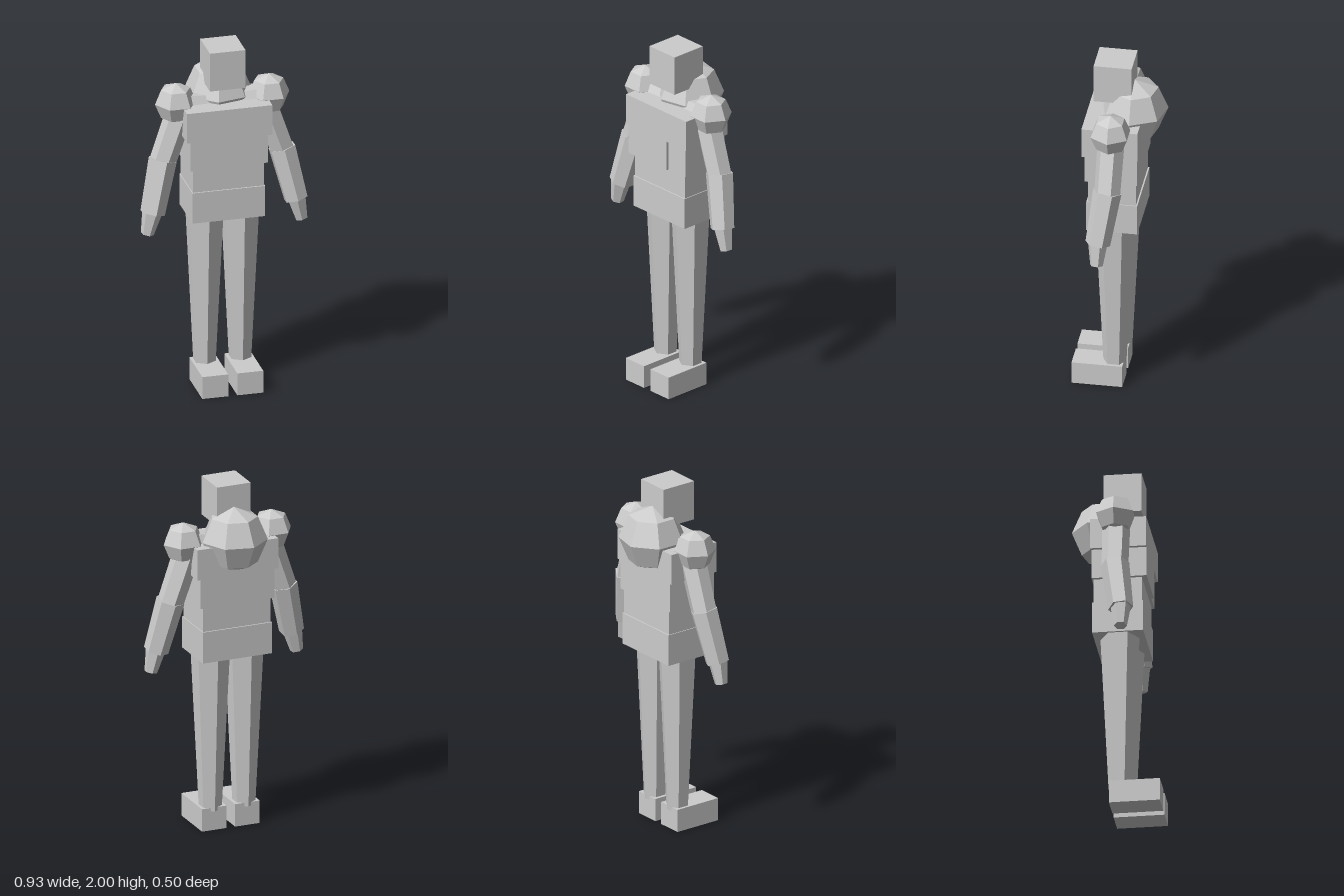
import * as THREE from 'three';

export function createModel() {
  const model = new THREE.Group();
  model.name = 'blockyFigure';
  const grey = new THREE.MeshStandardMaterial({ color: 0xcccccc });
  grey.name = 'light grey';

  // Facet a geometry and add it as a named part
  const add = (name, geometry) => {
    const faceted = geometry.index ? geometry.toNonIndexed() : geometry;
    faceted.computeVertexNormals();
    const mesh = new THREE.Mesh(faceted, grey);
    mesh.name = name;
    model.add(mesh);
    return mesh;
  };

  // Box given by its lower and upper bounds on each axis
  const box = (name, x0, x1, y0, y1, z0, z1) =>
    add(name, new THREE.BoxGeometry(x1 - x0, y1 - y0, z1 - z0))
      .position.set((x0 + x1) / 2, (y0 + y1) / 2, (z0 + z1) / 2);

  // Tapered six-sided limb from point a (radius ra) to point b (radius rb)
  const limb = (name, a, b, ra, rb) => {
    const start = new THREE.Vector3(...a);
    const axis = new THREE.Vector3(...b).sub(start);
    const mesh = add(name, new THREE.CylinderGeometry(rb, ra, axis.length(), 6));
    mesh.position.copy(start).addScaledVector(axis, 0.5);
    mesh.quaternion.setFromUnitVectors(new THREE.Vector3(0, 1, 0), axis.normalize());
  };

  // Low-poly ball with four rings of facets
  const ball = (name, x, y, z, r, sides) => {
    const mesh = add(name, new THREE.SphereGeometry(r, sides, 4));
    mesh.position.set(x, y, z);
    return mesh;
  };

  // Head and torso
  box('head', -0.1, 0.1, 1.775, 2, -0.07, 0.14);
  box('upperChest', -0.24, 0.24, 1.5, 1.675, -0.125, 0.184);
  box('lowerChest', -0.22, 0.22, 1.33, 1.5, -0.12, 0.17);
  box('chestPanel', -0.22, 0.085, 1.33, 1.5, 0.17, 0.184);
  box('abdomen', -0.2, 0.2, 1.19, 1.33, -0.11, 0.155);
  box('hips', -0.205, 0.205, 1.01, 1.19, -0.118, 0.163);

  // Seven-sided hump behind the neck
  ball('backHump', 0, 1.69, -0.07, 0.185, 7).rotation.y = Math.PI;

  // Limbs, mirrored left and right
  for (const [side, s] of [['left', 1], ['right', -1]]) {
    limb(side + 'Collar', [s * 0.02, 1.655, 0.02], [s * 0.25, 1.665, 0.02], 0.06, 0.07);
    ball(side + 'Shoulder', s * 0.262, 1.677, 0.02, 0.116, 6);
    limb(side + 'UpperArm', [s * 0.245, 1.6, 0.02], [s * 0.335, 1.34, 0.025], 0.076, 0.073);
    limb(side + 'Forearm', [s * 0.335, 1.35, 0.025], [s * 0.403, 1.055, 0.066], 0.079, 0.069);
    limb(side + 'Hand', [s * 0.405, 1.065, 0.066], [s * 0.434, 0.935, 0.068], 0.056, 0.036);
    limb(side + 'Leg', [s * 0.1, 0.11, 0.022], [s * 0.1, 1.02, 0.022], 0.063, 0.108);
    box(side + 'Foot', s * 0.0985 - 0.073, s * 0.0985 + 0.073, 0, 0.13, -0.03, 0.25);
  }

  return model;
}
